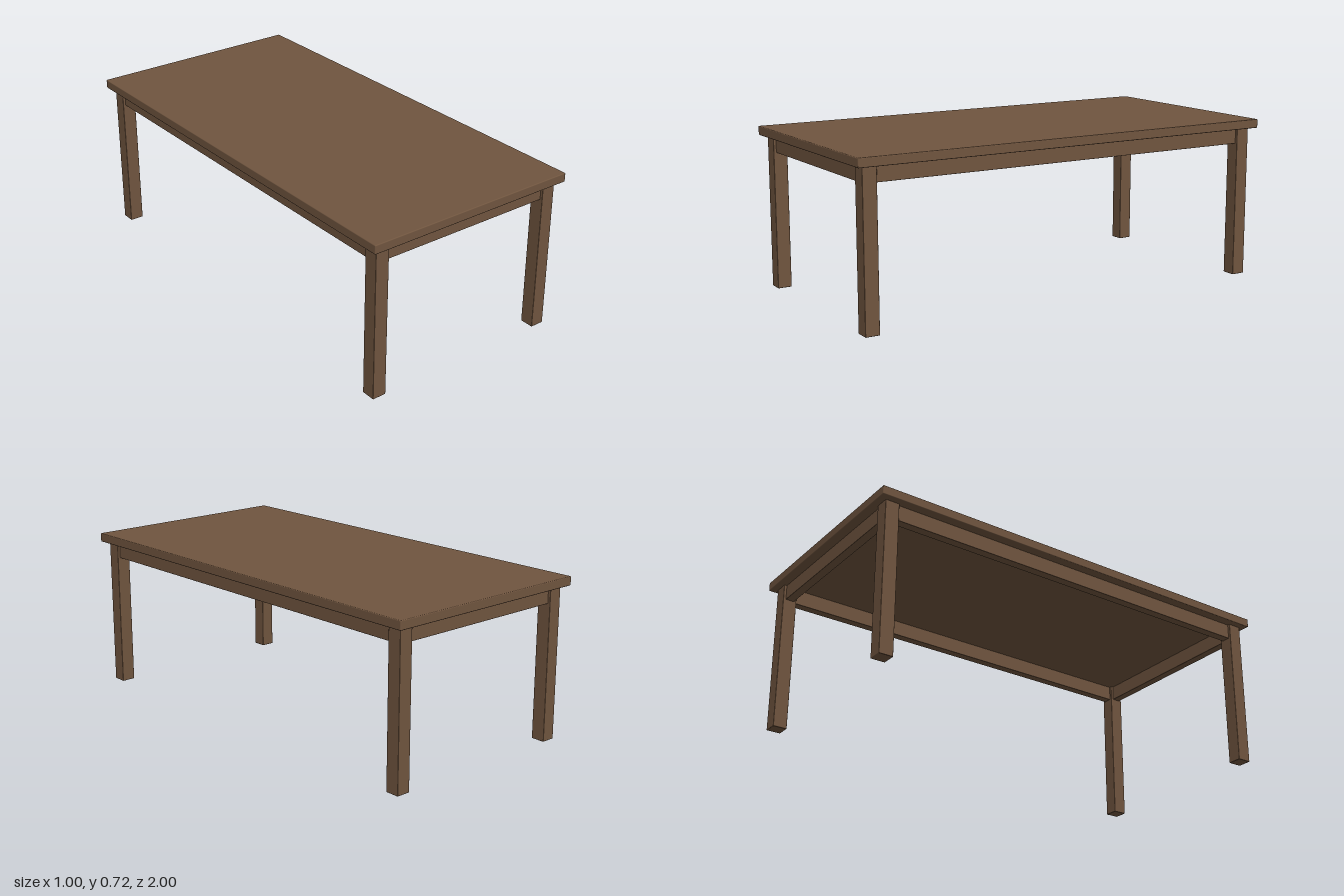
import * as THREE from 'three';
import { RoundedBoxGeometry } from 'three/addons/geometries/RoundedBoxGeometry.js';

export function createModel() {
  const table = new THREE.Group();
  table.name = 'table';
  const wood = new THREE.MeshStandardMaterial({ color: 0x70553f });
  wood.name = 'brown wood';

  const WIDTH = 1, LENGTH = 2, HEIGHT = 0.72, TOP = 0.04;
  const LEG = 0.064, INSET = 0.03;
  const APRON_HEIGHT = 0.07, APRON_THICKNESS = 0.04;
  const underside = HEIGHT - TOP;
  const legX = WIDTH / 2 - INSET - LEG / 2;
  const legZ = LENGTH / 2 - INSET - LEG / 2;

  // Board with slightly eased edges
  const board = (name, w, h, d, x, y, z, radius) => {
    const mesh = new THREE.Mesh(new RoundedBoxGeometry(w, h, d, 2, radius), wood);
    mesh.name = name;
    mesh.position.set(x, y, z);
    table.add(mesh);
  };

  board('tableTop', WIDTH, TOP, LENGTH, 0, HEIGHT - TOP / 2, 0, 0.004);

  // Legs at the four corners
  for (const [side, sx] of [['Left', 1], ['Right', -1]]) {
    for (const [end, sz] of [['front', 1], ['back', -1]]) {
      board(`${end}${side}Leg`, LEG, underside, LEG, sx * legX, underside / 2, sz * legZ, 0.003);
    }
  }

  // Apron rails between the legs, set back from the leg faces
  const railY = underside - APRON_HEIGHT / 2;
  for (const [name, s] of [['left', 1], ['right', -1]]) {
    board(`${name}Apron`, APRON_THICKNESS, APRON_HEIGHT, 2 * legZ - LEG + 0.01, s * legX, railY, 0, 0.002);
  }
  for (const [name, s] of [['front', 1], ['back', -1]]) {
    board(`${name}Apron`, 2 * legX - LEG + 0.01, APRON_HEIGHT, APRON_THICKNESS, 0, railY, s * legZ, 0.002);
  }

  return table;
}
